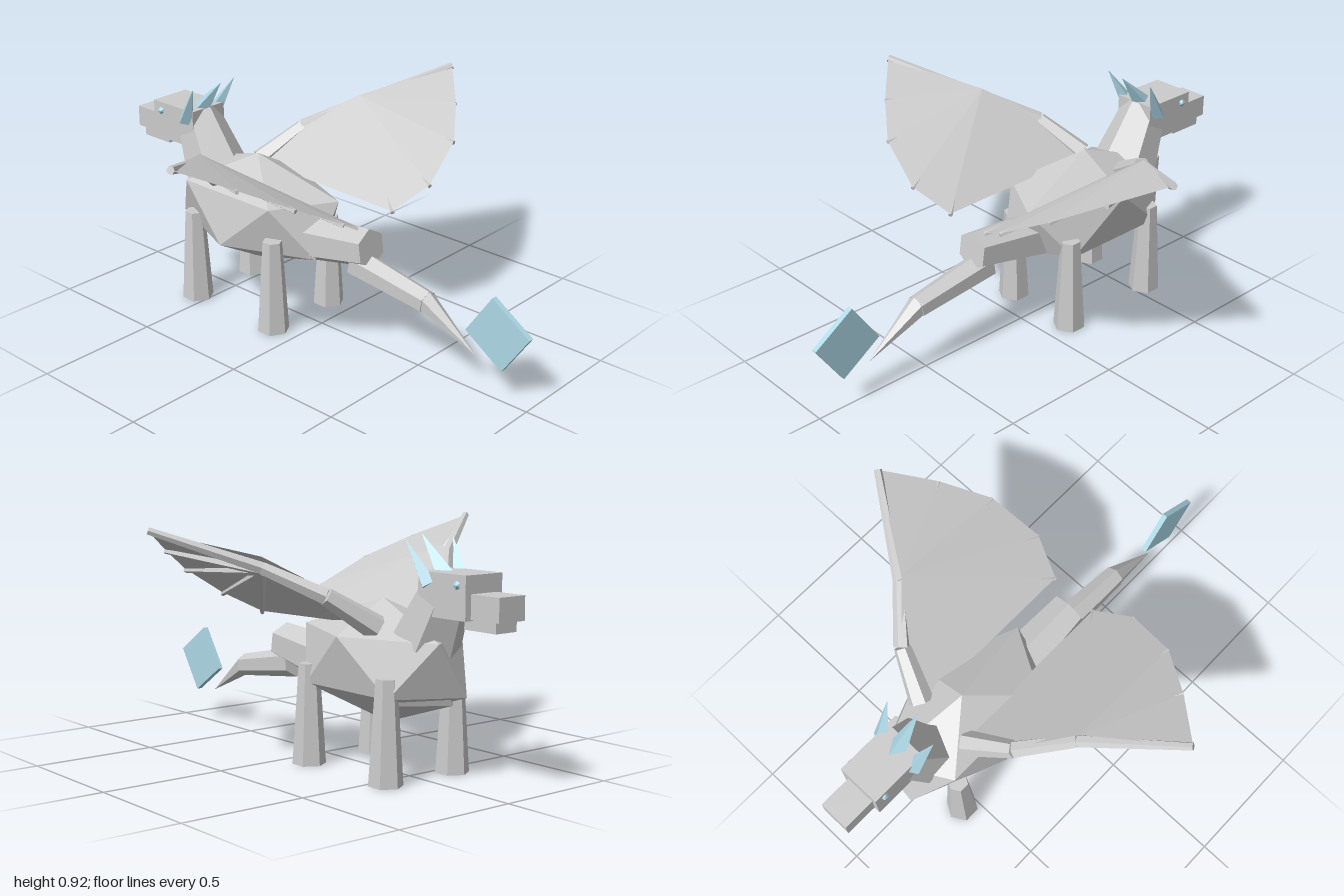
import * as THREE from 'three';
import { ConvexGeometry } from 'three/addons/geometries/ConvexGeometry.js';

const grey = new THREE.MeshStandardMaterial({ color: 0xcccccc, flatShading: true });
const skin = new THREE.MeshStandardMaterial({ color: 0xcccccc, flatShading: true, side: THREE.DoubleSide });
const blue = new THREE.MeshStandardMaterial({ color: 0xadd8e6, flatShading: true });
const V = (x, y, z) => new THREE.Vector3(x, y, z);

export function createModel() {
  const model = new THREE.Group();

  const add = (name, geometry, material = grey, parent = model) => {
    const mesh = new THREE.Mesh(geometry, material);
    mesh.name = name;
    parent.add(mesh);
    return mesh;
  };

  // Tapered prism between two points, one corner ridge towards its upper side
  const limb = (name, a, b, ra, rb, sides = 6, material = grey, parent = model) => {
    const mesh = add(name, new THREE.CylinderGeometry(rb, ra, a.distanceTo(b), sides), material, parent);
    const up = b.clone().sub(a).normalize();
    const side = V(1, 0, 0).addScaledVector(up, -up.x).normalize();
    const front = side.clone().cross(up);
    mesh.quaternion.setFromRotationMatrix(new THREE.Matrix4().makeBasis(side, up, front));
    mesh.position.copy(a).add(b).multiplyScalar(0.5);
    return mesh;
  };

  const box = (name, w, h, d, x, y, z, material = grey) => {
    const mesh = add(name, new THREE.BoxGeometry(w, h, d), material);
    mesh.position.set(x, y, z);
    return mesh;
  };

  // Twenty-sided solid standing on a corner, stretched along each axis
  const faceted = (name, center, rx, ry, rz) => {
    const points = [V(0, ry, 0), V(0, -ry, 0)];
    for (let i = 0; i < 10; i++) {
      const a = i * Math.PI / 5;
      points.push(V(0.894 * rx * Math.cos(a), (i % 2 ? -0.447 : 0.447) * ry, 0.894 * rz * Math.sin(a)));
    }
    add(name, new ConvexGeometry(points)).position.copy(center);
  };

  // Torso
  faceted('body', V(0, 0.42, -0.348), 0.252, 0.23, 0.441);
  faceted('belly', V(0, 0.365, -0.377), 0.17, 0.18, 0.353);

  // Legs
  for (const x of [-0.165, 0.165]) {
    for (const [name, z] of [['frontLeg', -0.555], ['rearLeg', -0.112]]) {
      add(name, new THREE.CylinderGeometry(0.04, 0.065, 0.39, 6)).position.set(x, 0.195, z);
    }
  }

  // Tail, ending in a flat diamond
  limb('tailBase', V(0, 0.37, -0.065), V(0, 0.417, 0.255), 0.1, 0.078);
  limb('tailMiddle', V(0, 0.338, 0.185), V(0, 0.283, 0.534), 0.06, 0.046);
  limb('tailTip', V(0, 0.29, 0.52), V(0, 0.144, 0.762), 0.044, 0.001);
  box('tailBlade', 0.022, 0.202, 0.202, 0, 0.268, 0.86, blue).rotation.x = 0.588;

  // Neck and head
  limb('neck', V(0, 0.52, -0.59), V(0, 0.74, -0.7), 0.13, 0.09);
  box('head', 0.176, 0.157, 0.235, 0, 0.698, -0.75);
  box('snout', 0.124, 0.087, 0.15, 0, 0.668, -0.925);
  box('jaw', 0.1, 0.04, 0.15, 0, 0.605, -0.9);

  // Horns and eyes
  limb('middleHorn', V(0, 0.74, -0.69), V(0, 0.897, -0.555), 0.045, 0.001, 4, blue);
  for (const s of [-1, 1]) {
    limb('sideHorn', V(s * 0.08, 0.73, -0.68), V(s * 0.115, 0.885, -0.595), 0.035, 0.001, 4, blue);
    add('eye', new THREE.IcosahedronGeometry(0.018, 0), blue).position.set(s * 0.084, 0.74, -0.825);
  }

  // Wings: arm bones, fingers and a membrane fanned out from the wrist
  for (const s of [-1, 1]) {
    const wing = new THREE.Group();
    wing.name = s > 0 ? 'leftWing' : 'rightWing';
    model.add(wing);
    const P = (x, y, z) => V(s * x, y, z);
    const shoulder = P(0.12, 0.555, -0.45), elbow = P(0.29, 0.675, -0.37);
    const wrist = P(0.455, 0.775, -0.21), tip = P(0.785, 0.91, 0.02);
    limb('upperArm', shoulder, elbow, 0.05, 0.034, 6, grey, wing);
    limb('forearm', elbow, wrist, 0.034, 0.026, 6, grey, wing);
    limb('wingTipBone', wrist, tip, 0.025, 0.015, 6, grey, wing);

    const trailing = [P(0.62, 0.825, 0.17), P(0.455, 0.735, 0.29), P(0.25, 0.625, 0.335), P(0.1, 0.545, 0.275)];
    for (const end of trailing) {
      limb('finger', wrist.clone().add(V(0, -0.012, 0)), end.clone().add(V(0, -0.006, 0)), 0.016, 0.009, 5, grey, wing);
    }

    const hub = P(0.45, 0.815, -0.2);
    const rim = [tip, ...trailing, P(0.1, 0.56, -0.43), P(0.29, 0.7, -0.37)];
    const corners = [];
    for (let i = 0; i < rim.length - 1; i++) {
      const pair = s > 0 ? [rim[i + 1], rim[i]] : [rim[i], rim[i + 1]];
      for (const p of [hub, ...pair]) corners.push(p.x, p.y, p.z);
    }
    const membrane = new THREE.BufferGeometry();
    membrane.setAttribute('position', new THREE.Float32BufferAttribute(corners, 3));
    membrane.computeVertexNormals();
    add('wingMembrane', membrane, skin, wing);
  }

  return model;
}
